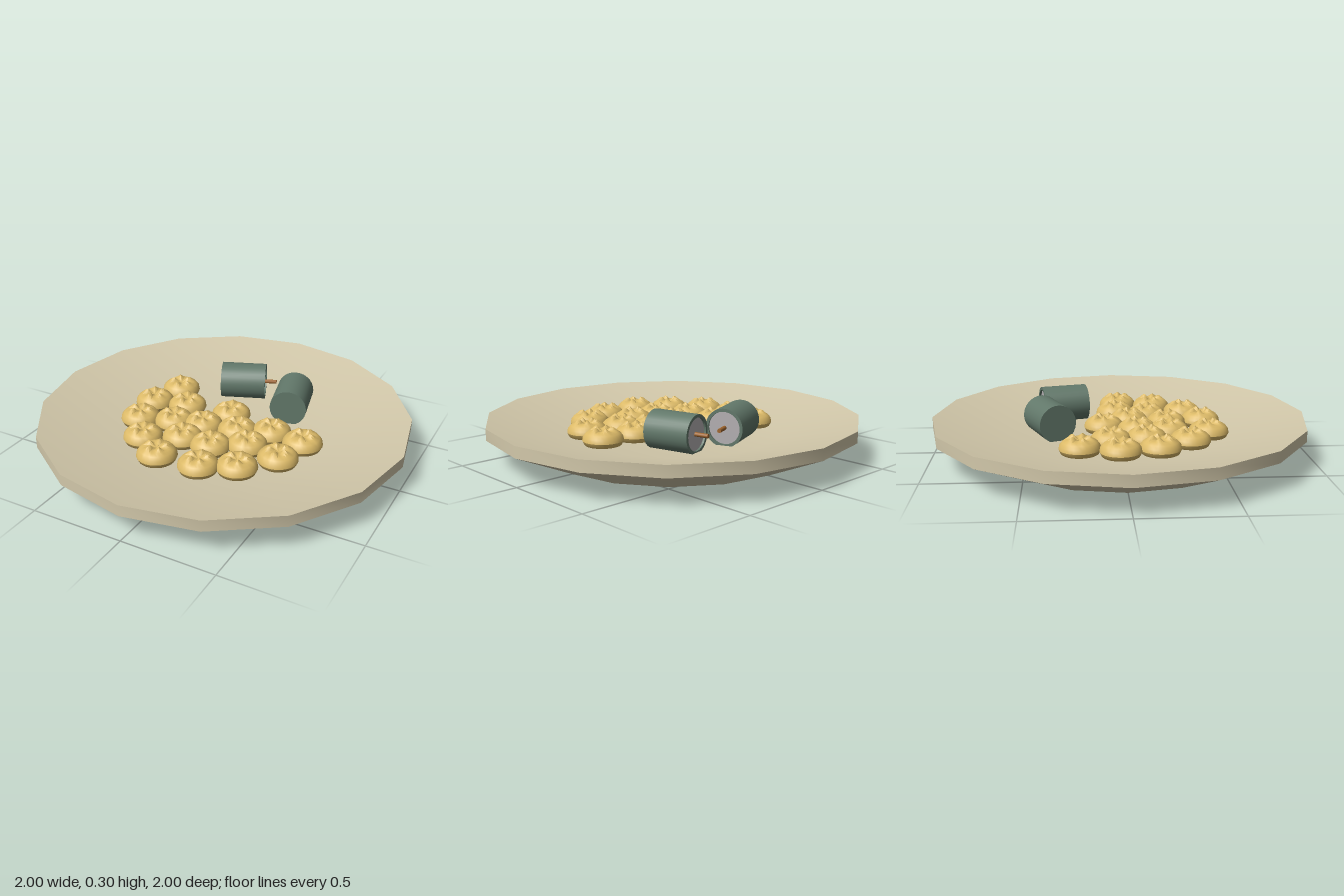
import * as THREE from 'three';
import { toCreasedNormals } from 'three/addons/utils/BufferGeometryUtils.js';

const mat = (color) => new THREE.MeshStandardMaterial({ color });
const PLATE = mat(0xd2c8aa), DOUGH = mat(0xdcba68), GREEN = mat(0x62786a), CAP = mat(0xb4b0b2), STICK = mat(0xa0662f);
const FLOOR = 0.11;

function lathe(points, sides, crease) {
  const g = new THREE.LatheGeometry(points.map(([x, y]) => new THREE.Vector2(x, y)), sides);
  return crease ? toCreasedNormals(g, crease) : g;
}

function add(parent, name, geometry, material) {
  const mesh = new THREE.Mesh(geometry, material);
  mesh.name = name;
  parent.add(mesh);
  return mesh;
}

// Round bun: smooth dome with a pinched, pleated crown around a dimple
function dumplingGeometry() {
  const g = lathe([
    [0, 0], [0.075, 0], [0.096, 0.015], [0.106, 0.036], [0.102, 0.056], [0.088, 0.073],
    [0.07, 0.084], [0.053, 0.09], [0.038, 0.092], [0.02, 0.083], [0, 0.078],
  ], 30);
  const p = g.attributes.position;
  for (let i = 0; i < p.count; i++) {
    const x = p.getX(i), y = p.getY(i), z = p.getZ(i);
    const r = Math.hypot(x, z), a = Math.atan2(x, z);
    const crown = y > 0.05 ? Math.exp(-(((r - 0.045) / 0.02) ** 2)) : 0;
    const peak = Math.pow(Math.abs(Math.cos(a * 2.5)), 3);
    p.setY(i, y + crown * (0.022 * peak - 0.008));
  }
  return toCreasedNormals(g, 0.6);
}

// Rolled piece lying on its side, with a recessed cap and a stick at one end
function roll(name, x, z, dx, dz) {
  const group = new THREE.Group();
  group.name = name;
  add(group, 'wrapper', lathe([[0, -0.125], [0.1, -0.125], [0.1, 0.125], [0.084, 0.125], [0.084, 0.112]], 28, 0.6), GREEN);
  const cap = add(group, 'filling', new THREE.CircleGeometry(0.086, 28), CAP);
  cap.rotation.x = -Math.PI / 2;
  cap.position.y = 0.114;
  add(group, 'stick', new THREE.CylinderGeometry(0.011, 0.011, 0.08, 10), STICK).position.y = 0.148;
  group.quaternion.setFromUnitVectors(new THREE.Vector3(0, 1, 0), new THREE.Vector3(dx, 0, dz).normalize());
  group.position.set(x, 0.2, z);
  return group;
}

export function createModel() {
  const model = new THREE.Group();
  model.name = 'plateOfFood';

  // Sixteen-sided shallow plate
  add(model, 'plate', lathe([[0, 0], [0.68, 0], [1, 0.14], [1, 0.2], [0.58, FLOOR], [0, FLOOR]], 16, 0.46), PLATE);

  // Dumplings as x, z positions
  const spots = [
    [-0.4, -0.22], [-0.455, -0.02], [-0.265, -0.06], [0, -0.085], [-0.24, 0.125], [-0.42, 0.18],
    [-0.08, 0.09], [0.11, 0.055], [0.28, -0.01], [0.47, 0.015], [0.225, 0.165], [0.42, 0.21],
    [-0.11, 0.255], [0.06, 0.26], [-0.295, 0.345], [-0.135, 0.465], [0.1, 0.455], [0.275, 0.375],
  ];
  const dumplings = new THREE.Group();
  dumplings.name = 'dumplings';
  const bun = dumplingGeometry();
  spots.forEach(([x, z], i) => {
    const d = add(dumplings, 'dumpling', bun, DOUGH);
    d.position.set(x, FLOOR - 0.012, z);
    d.rotation.y = i * 2.4;
  });
  model.add(dumplings);

  // Two rolls at the back
  model.add(roll('rightRoll', -0.07, -0.375, 0.93, -0.37));
  model.add(roll('leftRoll', 0.265, -0.3, -0.24, -0.97));
  return model;
}
